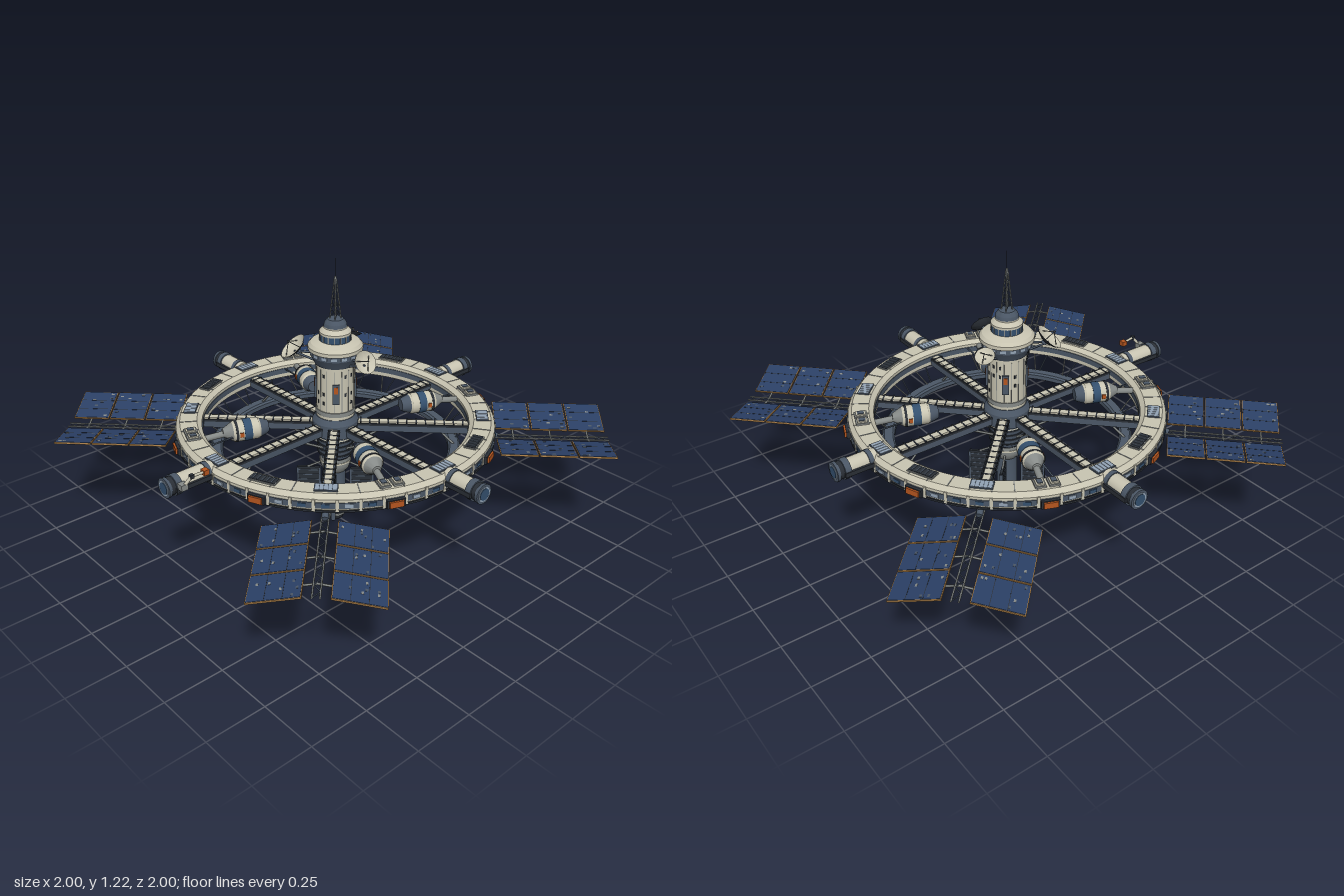
import * as THREE from 'three';
import { toCreasedNormals } from 'three/addons/utils/BufferGeometryUtils.js';

const mat = (name, color) => {
  const m = new THREE.MeshStandardMaterial({ color });
  m.name = name;
  return m;
};

export function createModel() {
  const cream = mat('cream hull', 0xc9c5b2), grey = mat('mid grey', 0x868a88), slate = mat('slate', 0x4b5766);
  const dark = mat('dark metal', 0x2a2f36), blue = mat('solar blue', 0x2b4066), pale = mat('pale blue', 0x93a3b4);
  const orange = mat('orange', 0xb4551f), gold = mat('gold edge', 0xad8048), glass = mat('window blue', 0x34506e);
  const backing = mat('panel backing', 0x363c42);
  const root = new THREE.Group();
  root.name = 'spaceStation';

  // Helpers
  const add = (parent, name, geo, m, x = 0, y = 0, z = 0) => {
    const mesh = new THREE.Mesh(geo, m);
    mesh.name = name;
    mesh.position.set(x, y, z);
    parent.add(mesh);
    return mesh;
  };
  const box = (p, name, m, w, h, d, x, y, z) => add(p, name, new THREE.BoxGeometry(w, h, d), m, x, y, z);
  const lathe = (p, name, m, pts, seg = 32) => add(p, name,
    toCreasedNormals(new THREE.LatheGeometry(pts.map(q => new THREE.Vector2(q[0], q[1])), seg), 0.5), m);
  const beam = (p, name, m, a, b, r, sides = 5) => {
    const A = new THREE.Vector3(...a), d = new THREE.Vector3(...b).sub(A);
    const mesh = add(p, name, new THREE.CylinderGeometry(r, r, d.length(), sides), m);
    mesh.position.copy(A).addScaledVector(d, 0.5);
    mesh.quaternion.setFromUnitVectors(new THREE.Vector3(0, 1, 0), d.normalize());
  };
  // Repeats a part around the axis; local +z points outward
  const around = (n, name, offset, build) => {
    for (let i = 0; i < n; i++) {
      const g = new THREE.Group();
      g.name = name;
      g.rotation.y = THREE.MathUtils.degToRad(offset + i * 360 / n);
      root.add(g);
      build(g, i);
    }
  };
  let seed = 7;
  const rand = () => (seed = (seed * 16807) % 2147483647) / 2147483647;

  // Habitat ring with seams, window band and roof hatches
  lathe(root, 'habitatRing', cream, [[0.575, 0.45], [0.672, 0.45], [0.685, 0.462], [0.685, 0.505], [0.668, 0.524],
    [0.595, 0.524], [0.575, 0.508], [0.575, 0.45]], 96);
  lathe(root, 'windowBand', slate, [[0.685, 0.468], [0.688, 0.468], [0.688, 0.493], [0.685, 0.493]], 96);
  lathe(root, 'lowerTrim', dark, [[0.675, 0.45], [0.689, 0.452], [0.689, 0.46], [0.685, 0.46]], 96);
  lathe(root, 'innerWindowBand', slate, [[0.575, 0.495], [0.572, 0.495], [0.572, 0.47], [0.575, 0.47]], 96);
  around(48, 'ringSegment', 3.75, (g, i) => {
    box(g, 'roofSeam', grey, 0.004, 0.003, 0.074, 0, 0.5245, 0.632);
    box(g, 'wallSeam', cream, 0.012, 0.05, 0.006, 0, 0.481, 0.686);
    box(g, 'ringWindow', i % 3 ? glass : pale, 0.032, 0.014, 0.004, 0.045, 0.481, 0.687);
  });
  around(8, 'roofHatch', 0, g => {
    box(g, 'hatchFrame', slate, 0.092, 0.006, 0.052, 0, 0.526, 0.63);
    for (let k = -2; k <= 2; k++) box(g, 'hatchPane', pale, 0.0145, 0.004, 0.045, k * 0.0168, 0.5285, 0.63);
  });
  around(4, 'roofVent', 22.5, g => {
    box(g, 'ventFrame', grey, 0.118, 0.006, 0.05, 0, 0.526, 0.63);
    box(g, 'ventPanel', dark, 0.11, 0.008, 0.042, 0, 0.527, 0.63);
    for (let k = -2; k <= 2; k++) box(g, 'ventSlat', slate, 0.004, 0.003, 0.038, k * 0.02, 0.532, 0.63);
  });
  around(4, 'twinHatch', 67.5, g => {
    for (const s of [-1, 1]) {
      box(g, 'hatchBase', grey, 0.045, 0.01, 0.055, s * 0.028, 0.527, 0.63);
      box(g, 'hatchLid', cream, 0.034, 0.006, 0.042, s * 0.028, 0.535, 0.63);
      box(g, 'hatchGlass', slate, 0.022, 0.004, 0.028, s * 0.028, 0.539, 0.63);
    }
  });
  around(8, 'rimPod', 22.5, g => {
    box(g, 'rimPodBase', dark, 0.075, 0.034, 0.02, 0, 0.474, 0.69);
    box(g, 'rimPodBody', orange, 0.058, 0.026, 0.022, 0, 0.474, 0.697);
  });

  // Lower service ring and the struts that hang it
  lathe(root, 'serviceRing', slate, [[0.492, 0.36], [0.5, 0.354], [0.536, 0.354], [0.544, 0.36], [0.544, 0.38],
    [0.536, 0.388], [0.5, 0.388], [0.492, 0.38], [0.492, 0.36]], 80);
  lathe(root, 'serviceRingStripe', grey, [[0.544, 0.366], [0.547, 0.366], [0.547, 0.374], [0.544, 0.374]], 80);
  around(24, 'ringStrut', 7.5, g => {
    beam(g, 'strutA', grey, [0.01, 0.386, 0.53], [0.035, 0.452, 0.6], 0.0032);
    beam(g, 'strutB', slate, [-0.01, 0.386, 0.53], [-0.035, 0.452, 0.6], 0.0032);
  });

  // Spokes
  around(8, 'spoke', 0, g => {
    box(g, 'spokeCore', slate, 0.046, 0.03, 0.51, 0, 0.462, 0.325);
    box(g, 'spokeRoof', cream, 0.03, 0.016, 0.51, 0, 0.483, 0.325);
    for (const s of [-1, 1]) box(g, 'spokeRail', dark, 0.006, 0.01, 0.51, s * 0.023, 0.481, 0.325);
    for (let k = 0; k < 12; k++) box(g, 'spokeTie', dark, 0.05, 0.005, 0.006, 0, 0.49, 0.11 + k * 0.04);
    beam(g, 'spokeBrace', grey, [0, 0.375, 0.07], [0, 0.45, 0.2], 0.006);
    beam(g, 'serviceRingHanger', grey, [0, 0.385, 0.515], [0, 0.45, 0.45], 0.005);
  });

  // Docking modules on the four sides; the front one is longer
  around(4, 'dockingModule', 0, (g, i) => {
    const len = i === 0 ? 0.035 : 0;
    const tube = (name, m, r, z0, z1) => beam(g, name, m, [0, 0.497, z0], [0, 0.497, z1], r, 20);
    tube('dockBody', cream, 0.038, 0.66, 0.8 + len);
    tube('dockRootCollar', slate, 0.042, 0.682, 0.702);
    tube('dockCollar', slate, 0.044, 0.785 + len, 0.812 + len);
    tube('dockEnd', dark, 0.038, 0.812 + len, 0.832 + len);
    tube('dockPort', slate, 0.042, 0.832 + len, 0.845 + len);
    tube('dockRim', pale, 0.031, 0.843 + len, 0.847 + len);
    tube('dockGlass', glass, 0.025, 0.844 + len, 0.849 + len);
    for (const s of [-1, 1]) box(g, 'dockRail', dark, 0.014, 0.02, 0.13 + len, s * 0.04, 0.492, 0.75 + len / 2);
  });
  // Handling arm beside the front dock
  const arm = new THREE.Group();
  arm.name = 'handlingArm';
  root.add(arm);
  box(arm, 'armBase', grey, 0.03, 0.025, 0.03, 0.055, 0.51, 0.83);
  beam(arm, 'armLower', cream, [0.06, 0.51, 0.83], [0.075, 0.552, 0.8], 0.007, 8);
  beam(arm, 'armUpper', cream, [0.075, 0.552, 0.8], [0.07, 0.545, 0.735], 0.006, 8);
  box(arm, 'armElbow', dark, 0.016, 0.016, 0.016, 0.075, 0.552, 0.8);
  box(arm, 'armGripper', orange, 0.026, 0.022, 0.024, 0.07, 0.545, 0.735);

  // Capsule pods moored inside the ring
  around(4, 'capsulePod', 67.2, g => {
    const pod = new THREE.Group();
    pod.name = 'capsule';
    pod.position.set(0, 0.51, 0.4);
    pod.rotation.x = Math.PI / 2;
    g.add(pod);
    lathe(pod, 'capsuleBody', cream, [[0.038, -0.062], [0.046, -0.05], [0.046, 0.05], [0.036, 0.068]], 20);
    lathe(pod, 'capsuleTail', slate, [[0, -0.096], [0.026, -0.096], [0.034, -0.08], [0.041, -0.058]], 20);
    lathe(pod, 'capsuleNose', grey, [[0.041, 0.06], [0.022, 0.092], [0.018, 0.1], [0, 0.1]], 20);
    lathe(pod, 'capsuleBand', glass, [[0.046, -0.02], [0.048, -0.02], [0.048, 0.014], [0.046, 0.014]], 20);
    lathe(pod, 'capsuleTrim', dark, [[0.046, 0.04], [0.048, 0.04], [0.048, 0.05], [0.046, 0.05]], 20);
    for (const s of [-1, 1]) box(pod, 'capsuleMarker', orange, 0.006, 0.016, 0.02, s * 0.046, 0.027, 0);
    beam(g, 'mooringTube', grey, [0, 0.505, 0.49], [0, 0.495, 0.58], 0.014, 10);
    beam(g, 'mooringBrace', slate, [0.03, 0.5, 0.45], [0.06, 0.49, 0.58], 0.004);
  });

  // Solar wings: lattice boom and two rows of panels, raised and drooped on alternate wings
  around(4, 'solarWing', 45, (g, i) => {
    for (const s of [-1, 1]) beam(g, 'boomRail', grey, [s * 0.014, 0.428, 0.62], [s * 0.014, 0.428, 1.18], 0.0038);
    for (let k = 0; k < 14; k++) {
      const z = 0.66 + k * 0.037, s = k % 2 ? 1 : -1;
      beam(g, 'boomLattice', slate, [s * 0.014, 0.428, z], [-s * 0.014, 0.428, z + 0.037], 0.0026);
    }
    beam(g, 'boomMount', slate, [0, 0.46, 0.62], [0, 0.43, 0.7], 0.014, 8);
    for (const s of [-1, 1]) {
      const row = new THREE.Group();
      row.name = 'panelRow';
      row.position.y = 0.428;
      row.rotation.z = s * (i % 2 ? 0.172 : -0.172);
      g.add(row);
      for (let k = 0; k < 3; k++) {
        const x = s * 0.149, z = 0.772 + k * 0.16;
        box(row, 'panelFrame', gold, 0.197, 0.006, 0.155, x, 0, z);
        box(row, 'panelFace', blue, 0.19, 0.004, 0.148, x, 0.0025, z);
        box(row, 'panelBack', backing, 0.194, 0.004, 0.152, x, -0.0025, z);
        beam(row, 'panelArm', grey, [0, -0.004, z], [s * 0.06, -0.004, z], 0.005);
        for (const t of [-1, 1]) box(row, 'panelSeam', dark, 0.002, 0.002, 0.148, x + t * 0.032, 0.0042, z);
        for (let c = 0; c < 6; c++) box(row, 'panelCell', c % 2 ? grey : slate, 0.009, 0.002, 0.014,
          x + (Math.floor(rand() * 12) - 5.5) * 0.0145, 0.0042, z + (Math.floor(rand() * 7) - 3) * 0.019);
      }
    }
  });

  // Central tower
  lathe(root, 'towerShaft', cream, [[0.083, 0.42], [0.083, 0.77], [0.092, 0.785]]);
  lathe(root, 'towerBase', slate, [[0.083, 0.43], [0.1, 0.44], [0.1, 0.5], [0.086, 0.525], [0.083, 0.525]]);
  lathe(root, 'towerLowerBand', grey, [[0.083, 0.54], [0.087, 0.54], [0.087, 0.56], [0.083, 0.56]]);
  lathe(root, 'towerUpperBand', slate, [[0.083, 0.765], [0.088, 0.766], [0.098, 0.787], [0.108, 0.805], [0.108, 0.828]]);
  lathe(root, 'towerDeck', cream, [[0.108, 0.826], [0.117, 0.83], [0.117, 0.846], [0.105, 0.86], [0.068, 0.87]]);
  lathe(root, 'controlRoom', glass, [[0.066, 0.865], [0.066, 0.9], [0.058, 0.905]]);
  lathe(root, 'controlRoof', cream, [[0.068, 0.898], [0.068, 0.908], [0.05, 0.925], [0.05, 0.93]]);
  lathe(root, 'upperLantern', slate, [[0.05, 0.928], [0.047, 0.945], [0.034, 0.962], [0, 0.966]]);
  around(16, 'towerPanelling', 0, g => {
    box(g, 'towerSeam', grey, 0.003, 0.19, 0.003, 0, 0.658, 0.083);
    box(g, 'deckWindow', pale, 0.024, 0.012, 0.004, 0, 0.817, 0.107);
    box(g, 'controlMullion', grey, 0.005, 0.034, 0.004, 0, 0.882, 0.066);
    for (let k = 0; k < 4; k++) if (rand() < 0.45)
      box(g, 'towerPort', dark, 0.009, 0.015, 0.004, 0.016, 0.6 + k * 0.042, 0.081);
  });
  around(4, 'towerLocker', 50, g => {
    box(g, 'lockerBack', slate, 0.03, 0.09, 0.012, 0, 0.65, 0.084);
    box(g, 'lockerDoor', orange, 0.018, 0.03, 0.014, 0, 0.67, 0.085);
  });

  // Antenna mast
  around(4, 'mastLeg', 45, g => {
    beam(g, 'mastPost', grey, [0, 0.955, 0.024], [0, 1.135, 0.004], 0.0028);
    for (let k = 0; k < 5; k++) {
      const y = 0.97 + k * 0.032, r = 0.0225 - k * 0.0036, q = r - 0.0036;
      beam(g, 'mastBrace', slate, [0, y, r], [q, y + 0.032, 0], 0.0018);
    }
  });
  beam(root, 'mastTip', grey, [0, 1.12, 0], [0, 1.145, 0], 0.005, 8);
  beam(root, 'mastWhip', dark, [0, 1.14, 0], [0, 1.222, 0], 0.0011);

  // Dish antennas, cream inside and dark behind: position, radius, facing direction
  const dish = (pos, r, face) => {
    const g = new THREE.Group();
    g.name = 'dishAntenna';
    g.position.set(...pos);
    g.quaternion.setFromUnitVectors(new THREE.Vector3(0, 1, 0), new THREE.Vector3(...face).normalize());
    root.add(g);
    const bowl = [[0, -r * 0.32], [r * 0.45, -r * 0.25], [r * 0.8, -r * 0.08], [r, r * 0.08]];
    lathe(g, 'dishBack', dark, bowl, 24);
    lathe(g, 'dishFace', cream, bowl.map(([x, y]) => [x, y + 0.003]).reverse(), 24);
    lathe(g, 'dishHub', slate, [[0, -r * 0.5], [r * 0.2, -r * 0.5], [r * 0.2, -r * 0.3]], 12);
    for (let k = 0; k < 3; k++) {
      const a = k * 2.094;
      beam(g, 'feedLeg', grey, [Math.cos(a) * r * 0.75, -r * 0.08, Math.sin(a) * r * 0.75], [0, r * 0.55, 0], 0.002);
    }
    add(g, 'feedHorn', new THREE.SphereGeometry(r * 0.09, 8, 6), dark, 0, r * 0.55, 0);
    const h = Math.hypot(pos[0], pos[2]);
    for (const y of [0.77, 0.81]) beam(root, 'dishArm', slate, [pos[0] / h * 0.08, y, pos[2] / h * 0.08],
      [pos[0], pos[1] - r * 0.3, pos[2]], 0.005);
  };
  dish([-0.11, 0.835, 0.135], 0.064, [-0.35, 0.75, 0.55]);
  dish([0.18, 0.82, 0], 0.05, [0.85, 0.55, 0.1]);
  dish([-0.075, 0.825, -0.165], 0.042, [-0.3, 0.85, -0.4]);

  // Lower hub and engine core
  lathe(root, 'lowerHub', slate, [[0.05, 0.318], [0.07, 0.325], [0.076, 0.34], [0.076, 0.41], [0.085, 0.43]]);
  for (let k = 0; k < 4; k++) add(root, 'hubRib', new THREE.CylinderGeometry(0.08, 0.08, 0.007, 32), dark, 0, 0.345 + k * 0.022, 0);
  lathe(root, 'hubNeck', grey, [[0.045, 0.245], [0.06, 0.262], [0.068, 0.285], [0.068, 0.322]]);
  lathe(root, 'neckBand', cream, [[0.068, 0.296], [0.07, 0.296], [0.07, 0.304], [0.068, 0.304]]);
  lathe(root, 'engineCore', slate, [[0.05, 0.075], [0.046, 0.09], [0.046, 0.25]], 24);
  lathe(root, 'engineNozzle', dark, [[0, 0], [0.034, 0], [0.04, 0.015], [0.052, 0.05], [0.052, 0.08], [0.046, 0.085]], 24);
  lathe(root, 'nozzleBand', grey, [[0.0415, 0.018], [0.046, 0.022], [0.048, 0.034], [0.046, 0.034]], 24);

  // Radiator fins around the core
  around(4, 'radiator', 45, g => {
    box(g, 'radiatorPanel', dark, 0.012, 0.175, 0.1, 0, 0.165, 0.118);
    for (const s of [-1, 1]) box(g, 'radiatorEdge', slate, 0.018, 0.165, 0.008, 0, 0.165, 0.118 + s * 0.05);
    for (let k = 0; k < 7; k++) box(g, 'radiatorPipe', slate, 0.017, 0.004, 0.096, 0, 0.093 + k * 0.024, 0.118);
    beam(g, 'radiatorStrut', grey, [0, 0.28, 0.06], [0, 0.25, 0.125], 0.005);
    beam(g, 'radiatorFoot', grey, [0, 0.075, 0.045], [0, 0.09, 0.09], 0.005);
  });
  return root;
}
